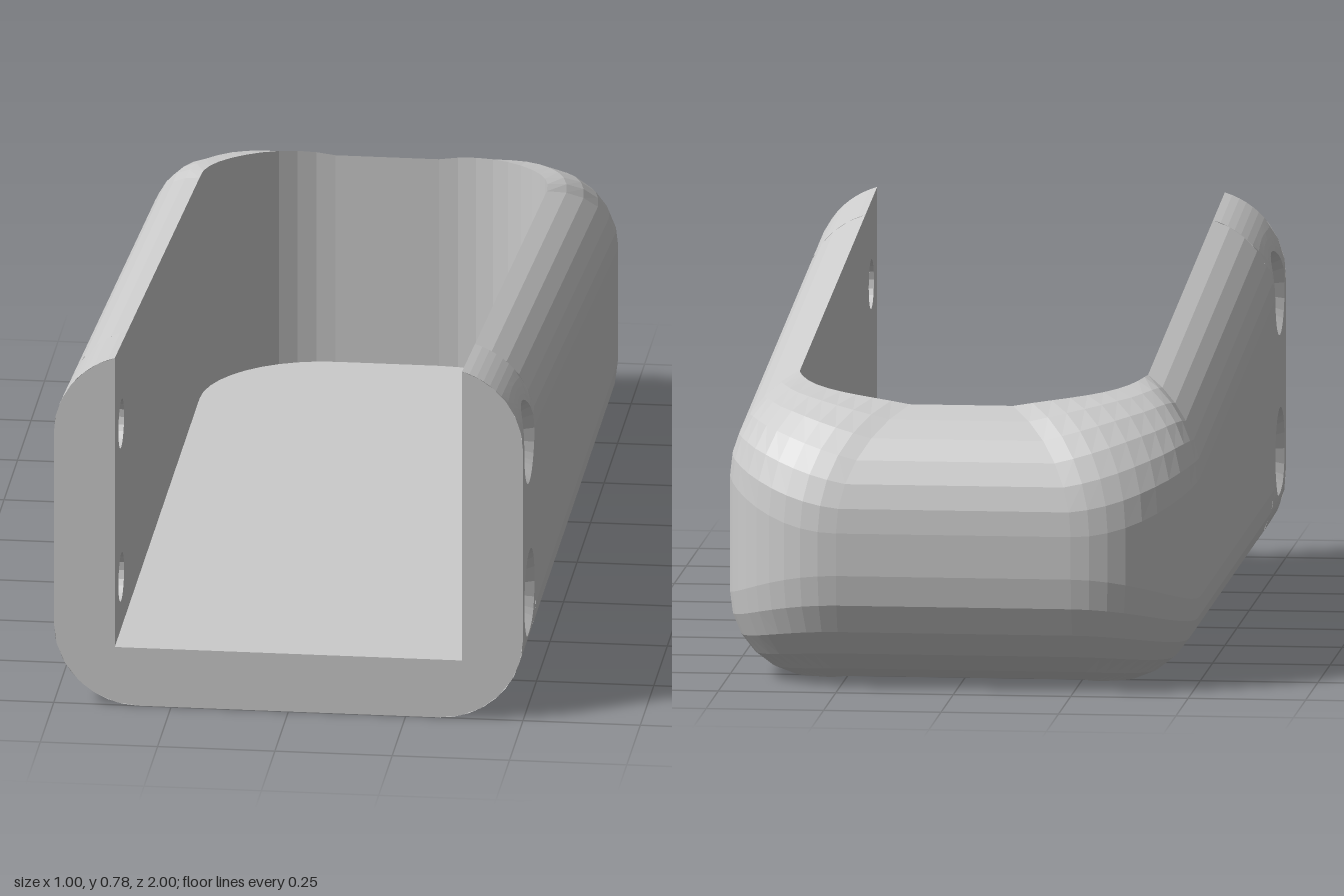
import * as THREE from 'three';

const R = 0.18, FLOOR = 0.13, SPLIT = 0.76, HALF = Math.PI / 2, HOLE_Z = 0.88;
const topAt = z => 0.689 + 0.098 * z; // sloping rim plane
const V = (x, y, z) => new THREE.Vector3(x, y, z);
const shapeOf = pts => new THREE.Shape(pts.map(([x, y]) => new THREE.Vector2(x, y)));

// Surface through rows of points
function grid(rows) {
  const n = rows[0].length, index = [];
  for (let i = 0; i < rows.length - 1; i++)
    for (let j = 0; j < n - 1; j++) {
      const a = i * n + j, b = a + n;
      index.push(a, b, a + 1, b, b + 1, a + 1);
    }
  const g = new THREE.BufferGeometry().setFromPoints(rows.flat());
  g.setIndex(index);
  g.computeVertexNormals();
  return g;
}

// Same geometry on the other side of x = 0
function mirrored(geo) {
  const g = geo.clone().scale(-1, 1, 1), ix = g.index.array;
  for (let i = 0; i < ix.length; i += 3) [ix[i], ix[i + 1]] = [ix[i + 1], ix[i]];
  g.computeVertexNormals();
  return g;
}

// Plan stations: p on the outer outline, q on the cavity outline, n outward
const sideStation = z => ({ p: V(0.5, 0, z), q: V(0.37, 0, z), n: V(1, 0, 0), r: R });
function cornerStation(a) {
  const c = Math.cos(a), s = Math.sin(a);
  return {
    p: V(0.25 + 0.25 * c, 0, -0.75 - 0.25 * s),
    q: V(0.11 + 0.26 * c, 0, -0.57 - 0.26 * s),
    n: V(c, 0, -s), r: R + 0.07 * s * s,
  };
}

// Bottom fillet of a station
function lower({ p, n, r }, t1 = HALF, seg = 6) {
  return Array.from({ length: seg + 1 }, (_, i) => {
    const t = t1 * i / seg;
    return p.clone().addScaledVector(n, -r * (1 - Math.sin(t))).setY(r * (1 - Math.cos(t)));
  });
}

// Top fillet of a station, cut off by the cavity wall
function upper({ p, q, n, r }, u0 = 0, seg = 6) {
  const depth = Math.min(p.clone().sub(q).dot(n), r), u1 = Math.acos(1 - depth / r);
  return Array.from({ length: seg + 1 }, (_, i) => {
    const u = u0 + (u1 - u0) * i / seg;
    const v = p.clone().lerp(q, r * (1 - Math.cos(u)) / depth);
    return v.setY(topAt(v.z) - r + r * Math.sin(u));
  });
}

// How far the filleted side lies inside x = 0.5
function inset(y, z) {
  const d = Math.max(R - y, y - (topAt(z) - R), 0);
  return R - Math.sqrt(R * R - d * d);
}

// Piece of side wall with a countersunk screw hole
function screwCell(yc, lo, hi) {
  const corners = [[1, lo(1)], [SPLIT, lo(SPLIT)], [SPLIT, hi(SPLIT)], [1, hi(1)]];
  const rows = [], seg = 7, rim = 0.095, bore = 0.053, sink = 0.06;
  const onWall = (z, y) => V(0.5 - inset(y, z), y, z);
  for (let k = 0; k <= 4 * seg; k++) {
    const e = Math.floor(k / seg) % 4, f = (k % seg) / seg;
    const A = corners[e], B = corners[(e + 1) % 4];
    const z = A[0] + (B[0] - A[0]) * f, y = A[1] + (B[1] - A[1]) * f;
    const a = Math.atan2(y - yc, z - HOLE_Z), c = Math.cos(a), s = Math.sin(a);
    let r = rim;
    for (let i = 0; i < 4; i++)
      r = rim - (rim - bore) * inset(yc + r * s, HOLE_Z + r * c) / sink;
    const rz = HOLE_Z + r * c, ry = yc + r * s, row = [];
    for (let m = 0; m <= 4; m++) row.push(onWall(z + (rz - z) * m / 4, y + (ry - y) * m / 4));
    for (const x of [0.5 - sink, 0.37]) row.push(V(x, yc + bore * s, HOLE_Z + bore * c));
    rows.push(row);
  }
  return grid(rows);
}

export function createModel() {
  const group = new THREE.Group();
  const material = new THREE.MeshStandardMaterial({
    color: 0xcccccc, flatShading: true, side: THREE.DoubleSide,
  });
  const add = (name, geo) => {
    for (const [side, g] of [['left', geo], ['right', mirrored(geo)]]) {
      const mesh = new THREE.Mesh(g, material);
      mesh.name = side + name;
      group.add(mesh);
    }
  };

  // Side wall, rounded corner and half of the back wall
  const stations = [sideStation(SPLIT), sideStation(0.1), sideStation(-0.45)];
  for (let i = 0; i <= 10; i++) stations.push(cornerStation(HALF * i / 10));
  stations.push({ p: V(0, 0, -1), q: V(0, 0, -0.83), n: V(0, 0, -1), r: 0.25 });
  add('Wall', grid(stations.map(s => [...lower(s), ...upper(s), s.q.clone().setY(FLOOR)])));

  // Fillets at the open end, above and below the screw holes
  const ends = [sideStation(1), sideStation(SPLIT)];
  const t1 = Math.acos(1 - 0.1 / R), u0 = Math.asin(1 - 0.06 / R);
  add('FrontBottomFillet', grid(ends.map(s => lower(s, t1))));
  add('FrontTopFillet', grid(ends.map(s => upper(s, u0))));

  // Screw holes
  const holes = [0.245, 0.59], middle = () => 0.4175;
  add('LowerScrewHole', screwCell(holes[0], () => 0.1, middle));
  add('UpperScrewHole', screwCell(holes[1], middle, z => topAt(z) - 0.06));

  // Inner face of the wall around the holes
  const rimY = s => upper(s).at(-1).y;
  const panel = shapeOf([[SPLIT, FLOOR], [1, FLOOR], [1, rimY(ends[0])], [SPLIT, rimY(ends[1])]]);
  for (const y of holes)
    panel.holes.push(new THREE.Path().absarc(HOLE_Z, y, 0.053, 0, Math.PI * 2, true));
  add('InnerPanel', new THREE.ShapeGeometry(panel, 14).rotateY(-HALF).translate(0.37, 0, 0));

  // Flat face of the open end
  const outline = [...lower(ends[0]), ...upper(ends[0])].map(v => [v.x, v.y]);
  const front = shapeOf([[0, 0], ...outline, [0.37, FLOOR], [0, FLOOR]]);
  add('FrontFace', new THREE.ShapeGeometry(front).translate(0, 0, 1));

  // Cavity floor and underside
  const plan = [ends[0], ...stations];
  const floor = shapeOf([[0, -1], ...plan.map(s => [s.q.x, -s.q.z])]);
  add('Floor', new THREE.ShapeGeometry(floor).rotateX(-HALF).translate(0, FLOOR, 0));
  const base = plan.map(s => lower(s)[0]).map(v => [v.x, v.z]);
  add('Underside', new THREE.ShapeGeometry(shapeOf([[0, 1], ...base])).rotateX(HALF));

  return group;
}
